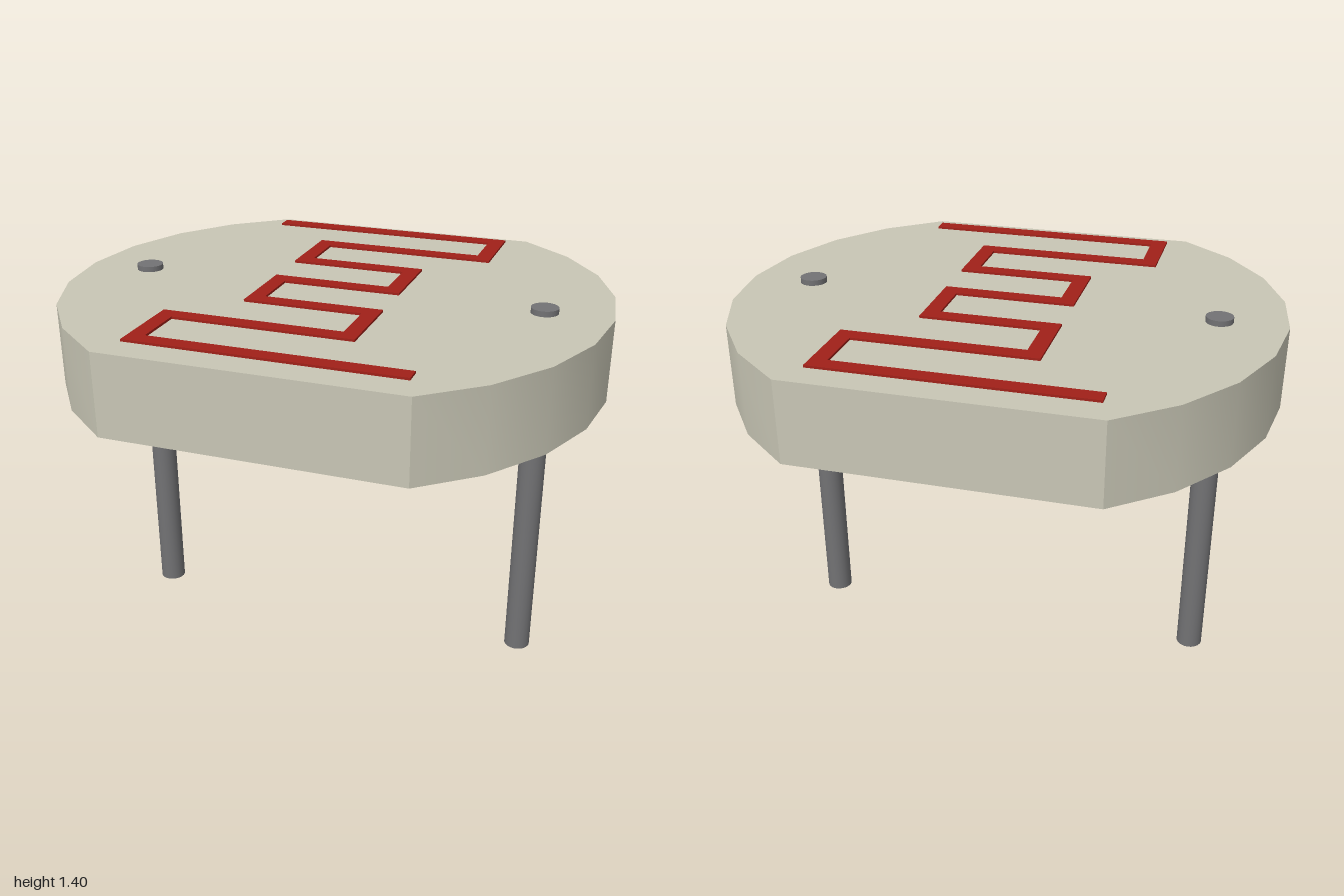
import * as THREE from 'three';
import { toCreasedNormals } from 'three/addons/utils/BufferGeometryUtils.js';

const material = (color) => new THREE.MeshStandardMaterial({ color });

// Upright prism from an outline of (x, -z) points
function prism(points, bottom, height) {
  const geometry = new THREE.ExtrudeGeometry(new THREE.Shape(points), {
    depth: height, bevelEnabled: false, steps: 1,
  });
  geometry.rotateX(-Math.PI / 2);
  geometry.translate(0, bottom, 0);
  return toCreasedNormals(geometry, 0.6);
}

// Round outline with two flattened sides
function discOutline() {
  const points = [];
  const limit = THREE.MathUtils.degToRad(58);
  for (const start of [0, Math.PI]) {
    for (let i = -4; i <= 4; i++) {
      const a = start + (i / 4) * limit;
      points.push(new THREE.Vector2(Math.cos(a), Math.sin(a)));
    }
  }
  return points;
}

// Constant-width outline around a path, with mitred right-angle corners
function stripOutline(path, width) {
  const left = [], right = [];
  const normal = (a, b) => {
    const d = b.clone().sub(a).normalize();
    return new THREE.Vector2(-d.y, d.x);
  };
  path.forEach((p, i) => {
    const offset = new THREE.Vector2();
    if (i > 0) offset.add(normal(path[i - 1], p));
    if (i < path.length - 1) offset.add(normal(p, path[i + 1]));
    offset.multiplyScalar(width / 2);
    left.push(p.clone().add(offset));
    right.unshift(p.clone().sub(offset));
  });
  return [...left, ...right];
}

export function createModel() {
  const model = new THREE.Group();
  const ceramic = material(0xc8c6b5);
  const metal = material(0x727274);
  const red = material(0xa02018);

  // Ceramic disc with a red underside
  const discGeometry = prism(discOutline(), 1.08, 0.3);
  const lidCount = discGeometry.groups[0].count / 2;
  const total = discGeometry.attributes.position.count;
  discGeometry.clearGroups();
  discGeometry.addGroup(0, lidCount, 1);
  discGeometry.addGroup(lidCount, total - lidCount, 0);
  const disc = new THREE.Mesh(discGeometry, [ceramic, red]);
  disc.name = 'disc';
  model.add(disc);

  // Zigzag sensing track, just above the disc
  const path = [
    [-0.5, -0.735], [0.43, -0.735], [0.43, -0.49], [-0.22, -0.49],
    [-0.22, -0.245], [0.215, -0.245], [0.215, 0], [-0.22, 0],
    [-0.22, 0.245], [0.215, 0.245], [0.215, 0.49], [-0.435, 0.49],
    [-0.435, 0.735], [0.5, 0.735],
  ].map(([x, z]) => new THREE.Vector2(x, -z));
  const track = new THREE.Mesh(prism(stripOutline(path, 0.058), 1.393, 0.008), red);
  track.name = 'sensingTrack';
  model.add(track);

  // Two wire legs, through the disc, with red lower ends
  for (const side of [-1, 1]) {
    const leg = new THREE.Mesh(
      new THREE.CylinderGeometry(0.049, 0.049, 1.4, 20), [metal, metal, red]);
    leg.position.set(side * 0.76, 0.7, 0);
    leg.name = side > 0 ? 'leftLeg' : 'rightLeg';
    model.add(leg);
  }

  return model;
}
